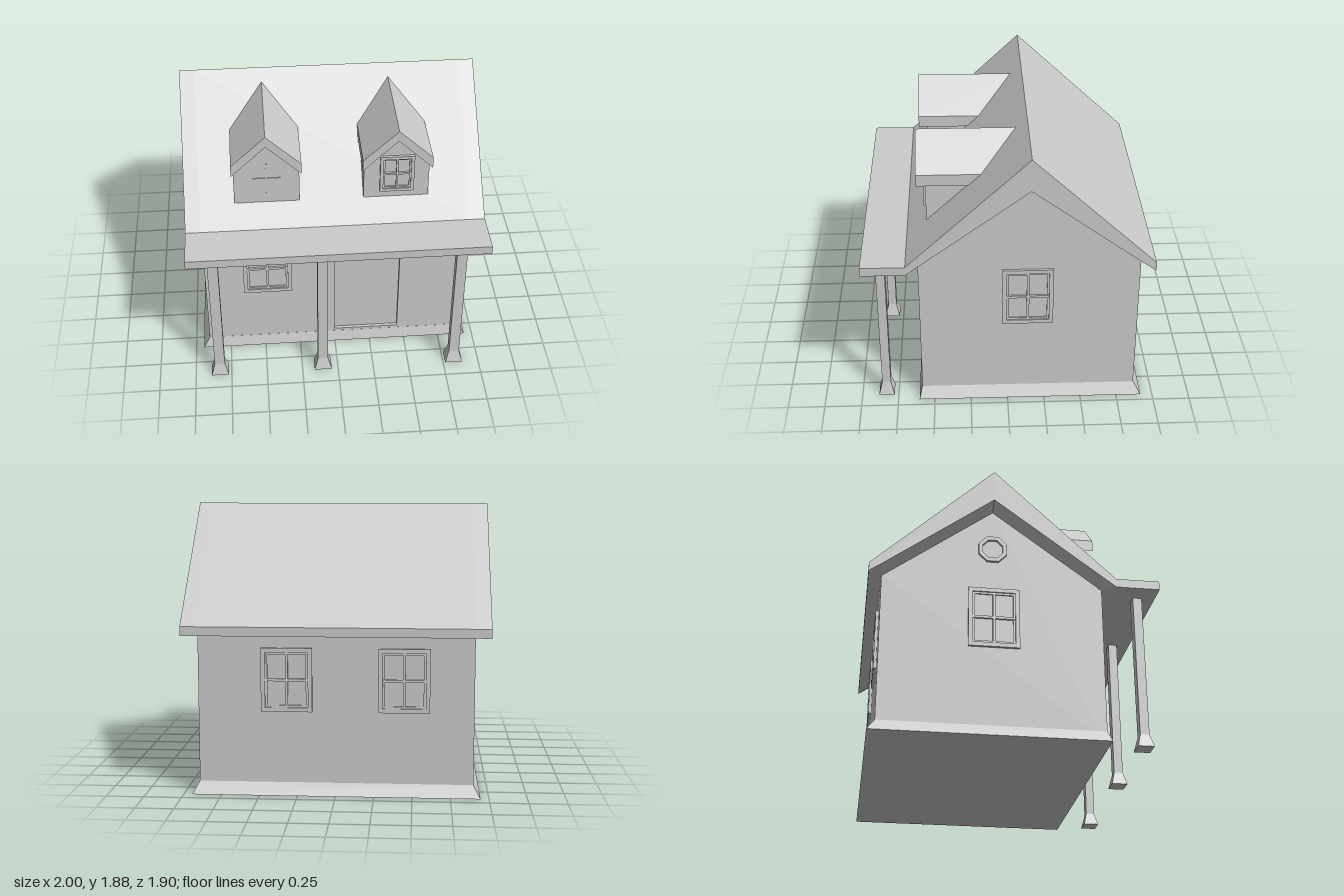
import * as THREE from 'three';

const material = new THREE.MeshStandardMaterial({ color: 0xcccccc, flatShading: true });

function add(parent, name, geometry, x = 0, y = 0, z = 0) {
  const mesh = new THREE.Mesh(geometry, material);
  mesh.name = name;
  mesh.position.set(x, y, z);
  parent.add(mesh);
  return mesh;
}

const box = (w, h, d) => new THREE.BoxGeometry(w, h, d);

function rect(path, w, h, cx = 0, cy = 0) {
  path.moveTo(cx - w / 2, cy - h / 2);
  path.lineTo(cx + w / 2, cy - h / 2);
  path.lineTo(cx + w / 2, cy + h / 2);
  path.lineTo(cx - w / 2, cy + h / 2);
  path.closePath();
  return path;
}

const polygon = points => new THREE.Shape(points.map(p => new THREE.Vector2(...p)));
const extrude = (shape, depth) => new THREE.ExtrudeGeometry(shape, { depth, bevelEnabled: false });

// Flat bar frame with a rectangular opening
function frame(w, h, bar, depth) {
  const shape = rect(new THREE.Shape(), w, h);
  shape.holes.push(rect(new THREE.Path(), w - 2 * bar, h - 2 * bar));
  return extrude(shape, depth);
}

// Solid through (z, y) loops placed at increasing x, closed at both ends
function loft(sections) {
  const positions = [], index = [], n = sections[0].loop.length;
  for (const { x, loop } of sections) for (const [z, y] of loop) positions.push(x, y, z);
  for (let s = 0; s < sections.length - 1; s++) {
    for (let i = 0; i < n; i++) {
      const a = s * n + i, b = s * n + (i + 1) % n;
      index.push(a, a + n, b, b, a + n, b + n);
    }
  }
  const last = (sections.length - 1) * n;
  const contour = sections[0].loop.map(p => new THREE.Vector2(...p));
  for (const [a, b, c] of THREE.ShapeUtils.triangulateShape(contour, [])) {
    index.push(a, b, c, last + a, last + c, last + b);
  }
  const geometry = new THREE.BufferGeometry();
  geometry.setAttribute('position', new THREE.Float32BufferAttribute(positions, 3));
  geometry.setIndex(index);
  const flat = geometry.toNonIndexed();
  flat.computeVertexNormals();
  return flat;
}

// Box whose bottom and top are different rectangles [x0, x1, z0, z1]
function frustum(bottom, top, height) {
  const geometry = box(1, 1, 1), p = geometry.attributes.position;
  for (let i = 0; i < p.count; i++) {
    const r = p.getY(i) > 0 ? top : bottom;
    p.setXYZ(i, p.getX(i) < 0 ? r[0] : r[1], p.getY(i) > 0 ? height : 0, p.getZ(i) < 0 ? r[2] : r[3]);
  }
  geometry.computeVertexNormals();
  return geometry;
}

// Window facing +z: outer frame, lower inner sash and crossing bars
function makeWindow(name, w, h, bar, framed = true) {
  const group = new THREE.Group();
  group.name = name;
  const iw = w - 2 * bar, ih = h - 2 * bar;
  if (framed) {
    add(group, 'windowFrame', frame(w, h, bar, 0.018));
    add(group, 'windowSash', frame(iw, ih, bar * 0.5, 0.009));
  }
  const thick = framed ? 0.014 : 0.006;
  add(group, 'verticalBar', box(bar * 0.6, ih, thick), 0, 0, thick / 2);
  add(group, 'horizontalBar', box(iw, bar * 0.6, thick), 0, 0, thick / 2);
  return group;
}

export function createModel() {
  const house = new THREE.Group();
  house.name = 'house';
  const ridgeZ = -0.145;

  // Gabled body, with a front wall holding the recessed door
  const body = [[0.56, 0.02], [0.56, 1.1], [ridgeZ, 1.65], [-0.87, 1.1], [-0.87, 0.02]];
  add(house, 'walls', loft([{ x: -0.9, loop: body }, { x: 0.9, loop: body }]));
  const front = rect(new THREE.Shape(), 1.8, 1.07, 0, 0.555);
  front.holes.push(rect(new THREE.Path(), 0.45, 0.725, 0.225, 0.4625));
  add(house, 'frontWall', extrude(front, 0.025), 0, 0, 0.558);

  // Flared skirt around the foot of the walls
  add(house, 'baseSkirt', frustum([-0.945, 0.945, -0.92, 0.605], [-0.9, 0.9, -0.87, 0.584], 0.08));

  // Main roof running out flat over the porch, soffits sloping in to the walls
  const roofLoop = (eave, apex) => [
    [0.95, 1.06], [0.95, 1.12], [0.66, 1.12], [ridgeZ, 1.88], [-0.955, 1.12], [-0.955, 1.06],
    [-0.87, eave], [ridgeZ, apex], [0.58, eave], [0.66, 1.06],
  ];
  const outer = roofLoop(1.12, 1.66), inner = roofLoop(1.083, 1.62);
  add(house, 'roof', loft([
    { x: -1, loop: outer }, { x: -0.9, loop: inner }, { x: 0.9, loop: inner }, { x: 1, loop: outer },
  ]));

  // Porch posts on flared feet
  for (const x of [-0.83, -0.105, 0.825]) {
    const post = new THREE.Group();
    post.name = 'porchPost';
    post.position.set(x, 0, 0.832);
    add(post, 'postShaft', box(0.07, 1.02, 0.06), 0, 0.56, 0);
    add(post, 'postFoot', frustum([-0.06, 0.06, -0.053, 0.053], [-0.035, 0.035, -0.03, 0.03], 0.088));
    house.add(post);
  }

  // Dormers; the one on the right has bars only
  for (const [x, framed] of [[-0.45, false], [0.41, true]]) {
    const dormer = new THREE.Group();
    dormer.name = 'dormer';
    dormer.position.x = x;
    const wall = polygon([[-0.217, 1.247], [0.217, 1.247], [0.217, 1.54], [0, 1.75], [-0.217, 1.54]]);
    add(dormer, 'dormerWalls', extrude(wall, 0.525));
    const roof = polygon([[0.23, 1.51], [0.23, 1.59], [0, 1.81], [-0.23, 1.59], [-0.23, 1.51], [0, 1.735]]);
    add(dormer, 'dormerRoof', extrude(roof, 0.655), 0, 0, -0.07);
    const pane = makeWindow('dormerWindow', 0.227, 0.28, 0.022, framed);
    pane.position.set(0.003, 1.44, 0.525);
    dormer.add(pane);
    house.add(dormer);
  }

  // Wall windows: name, position and turn about y
  const windows = [
    ['frontWindow', -0.468, 0.715, 0.583, 0],
    ['leftWindow', 0.9, 0.815, -0.135, Math.PI / 2],
    ['rightWindow', -0.9, 0.825, -0.135, -Math.PI / 2],
    ['backWindow', 0.32, 0.765, -0.87, Math.PI],
    ['backWindow', -0.445, 0.765, -0.87, Math.PI],
  ];
  for (const [name, x, y, z, turn] of windows) {
    const w = makeWindow(name, 0.335, 0.42, 0.028);
    w.position.set(x, y, z);
    w.rotation.y = turn;
    house.add(w);
  }

  // Octagonal gable vent on the right side
  const octagon = r => Array.from({ length: 8 }, (_, i) => {
    const a = (i + 0.5) * Math.PI / 4;
    return [r * Math.cos(a), r * Math.sin(a)];
  });
  const ring = polygon(octagon(0.1));
  ring.holes.push(polygon(octagon(0.072)));
  add(house, 'gableVent', extrude(ring, 0.02), -0.9, 1.33, ridgeZ).rotation.y = -Math.PI / 2;

  return house;
}
